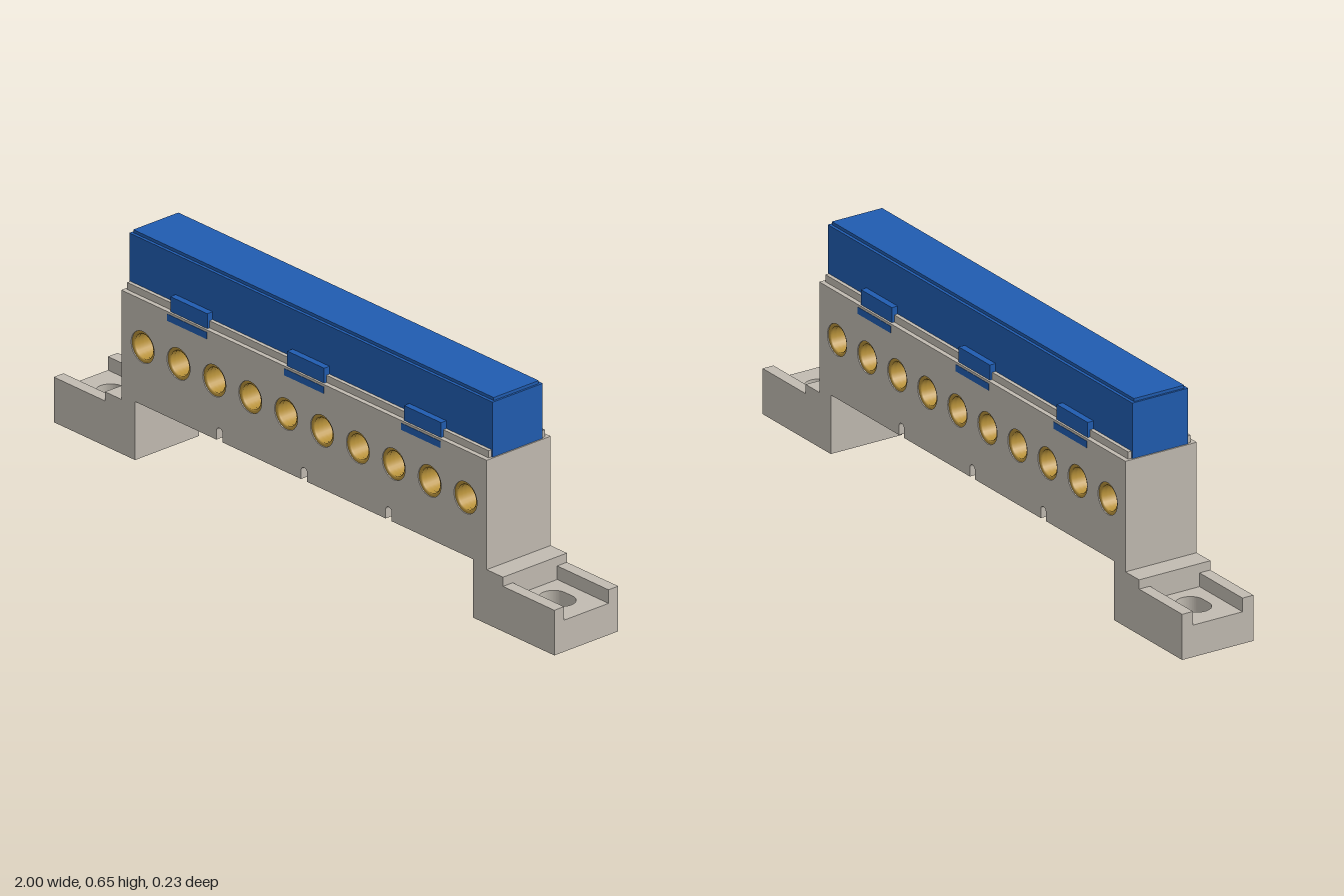
import * as THREE from 'three';

const housingMat = new THREE.MeshStandardMaterial({ name: 'light grey plastic', color: 0xc1bbb1 });
const coverMat = new THREE.MeshStandardMaterial({ name: 'blue plastic', color: 0x205cb0 });
const brassMat = new THREE.MeshStandardMaterial({ name: 'brass', color: 0xb8923a, side: THREE.DoubleSide });
const darkMat = new THREE.MeshStandardMaterial({ name: 'dark bore', color: 0x2e2413 });

const DEPTH = 0.115; // half depth of the housing
const SOCKETS = 10, SOCKET_Y = 0.343, SOCKET_R = 0.046;
const socketX = i => -0.645 + i * (1.29 / (SOCKETS - 1));

function add(parent, name, geometry, material) {
  const mesh = new THREE.Mesh(geometry, material);
  mesh.name = name;
  parent.add(mesh);
  return mesh;
}

// Box given by its limits on each axis
function box(parent, name, material, [x0, x1], [y0, y1], [z0, z1]) {
  const g = new THREE.BoxGeometry(x1 - x0, y1 - y0, z1 - z0);
  g.translate((x0 + x1) / 2, (y0 + y1) / 2, (z0 + z1) / 2);
  return add(parent, name, g, material);
}

// Main housing: front profile with notched underside and socket holes
function housingGeometry() {
  const s = new THREE.Shape();
  s.moveTo(-0.73, 0.093);
  s.lineTo(-0.675, 0.093);
  s.lineTo(-0.675, 0.172);
  for (const x of [-0.338, 0, 0.338]) {
    s.lineTo(x - 0.012, 0.172);
    s.lineTo(x - 0.012, 0.198);
    s.absarc(x, 0.198, 0.012, Math.PI, 0, true);
    s.lineTo(x + 0.012, 0.172);
  }
  s.lineTo(0.675, 0.172);
  s.lineTo(0.675, 0.093);
  s.lineTo(0.73, 0.093);
  s.lineTo(0.73, 0.482);
  s.lineTo(-0.73, 0.482);
  s.closePath();
  for (let i = 0; i < SOCKETS; i++) {
    s.holes.push(new THREE.Path().absarc(socketX(i), SOCKET_Y, SOCKET_R, 0, Math.PI * 2, true));
  }
  const g = new THREE.ExtrudeGeometry(s, { depth: DEPTH * 2, bevelEnabled: false, curveSegments: 16 });
  return g.translate(0, 0, -DEPTH);
}

// Mounting foot on the +x end
function makeFoot(name) {
  const foot = new THREE.Group();
  foot.name = name;
  const s = new THREE.Shape();
  s.moveTo(0.675, -DEPTH);
  s.lineTo(1, -DEPTH);
  s.lineTo(1, DEPTH);
  s.lineTo(0.675, DEPTH);
  s.closePath();
  // oval screw slot
  const slot = new THREE.Path();
  slot.absarc(0.87, 0, 0.04, -Math.PI / 2, Math.PI / 2, true);
  slot.absarc(0.9, 0, 0.04, Math.PI / 2, -Math.PI / 2, true);
  slot.closePath();
  // small square pocket, closed above by the step
  const pocket = new THREE.Path();
  pocket.moveTo(0.74, -0.02);
  pocket.lineTo(0.74, 0.02);
  pocket.lineTo(0.772, 0.02);
  pocket.lineTo(0.772, -0.02);
  pocket.closePath();
  s.holes.push(slot, pocket);
  const slab = new THREE.ExtrudeGeometry(s, { depth: 0.093, bevelEnabled: false, curveSegments: 16 });
  add(foot, 'footBase', slab.rotateX(-Math.PI / 2), housingMat);
  box(foot, 'footStep', housingMat, [0.73, 0.795], [0.093, 0.16], [-DEPTH, DEPTH]);
  box(foot, 'footRailFront', housingMat, [0.795, 1], [0.093, 0.133], [0.08, DEPTH]);
  box(foot, 'footRailBack', housingMat, [0.795, 1], [0.093, 0.133], [-DEPTH, -0.08]);
  return foot;
}

// Threaded brass socket lining, opening towards +y before rotation
function socketGeometry() {
  const pts = [new THREE.Vector2(SOCKET_R, 0.112), new THREE.Vector2(0.04, 0.112)];
  for (let i = 0; i <= 12; i++) {
    pts.push(new THREE.Vector2(i % 2 ? 0.039 : 0.036, 0.109 - i * 0.007));
  }
  return new THREE.LatheGeometry(pts, 28);
}

export function createModel() {
  const model = new THREE.Group();
  model.name = 'terminalBlock';

  add(model, 'housing', housingGeometry(), housingMat);
  const leftFoot = makeFoot('leftFoot');
  const rightFoot = makeFoot('rightFoot');
  rightFoot.rotation.y = Math.PI;
  model.add(leftFoot, rightFoot);

  // Cover with a slightly narrower top
  box(model, 'cover', coverMat, [-0.726, 0.726], [0.482, 0.644], [-0.09, 0.09]);
  box(model, 'coverTop', coverMat, [-0.72, 0.72], [0.644, 0.653], [-0.081, 0.081]);

  const lining = socketGeometry();
  const bore = new THREE.CircleGeometry(0.04, 24).translate(0, 0, 0.03);
  for (const side of [1, -1]) {
    const face = new THREE.Group();
    face.name = side > 0 ? 'frontFace' : 'backFace';
    face.rotation.y = side > 0 ? 0 : Math.PI;
    model.add(face);

    // Lip along the housing top
    box(face, 'lip', housingMat, [-0.722, 0.722], [0.482, 0.503], [0.09, 0.101]);

    // Cover clips and the slots they latch into
    for (const x of [-0.467, 0, 0.467]) {
      box(face, 'clip', coverMat, [x - 0.074, x + 0.074], [0.482, 0.526], [0.09, 0.109]);
      box(face, 'clipLatch', coverMat, [x - 0.079, x + 0.079], [0.455, 0.475], [0.112, 0.116]);
    }

    // Row of sockets
    for (let i = 0; i < SOCKETS; i++) {
      const socket = add(face, 'socketLining', lining, brassMat);
      socket.rotation.x = Math.PI / 2;
      socket.position.set(socketX(i), SOCKET_Y, 0);
      add(face, 'socketBore', bore, darkMat).position.set(socketX(i), SOCKET_Y, 0);
    }
  }
  return model;
}
